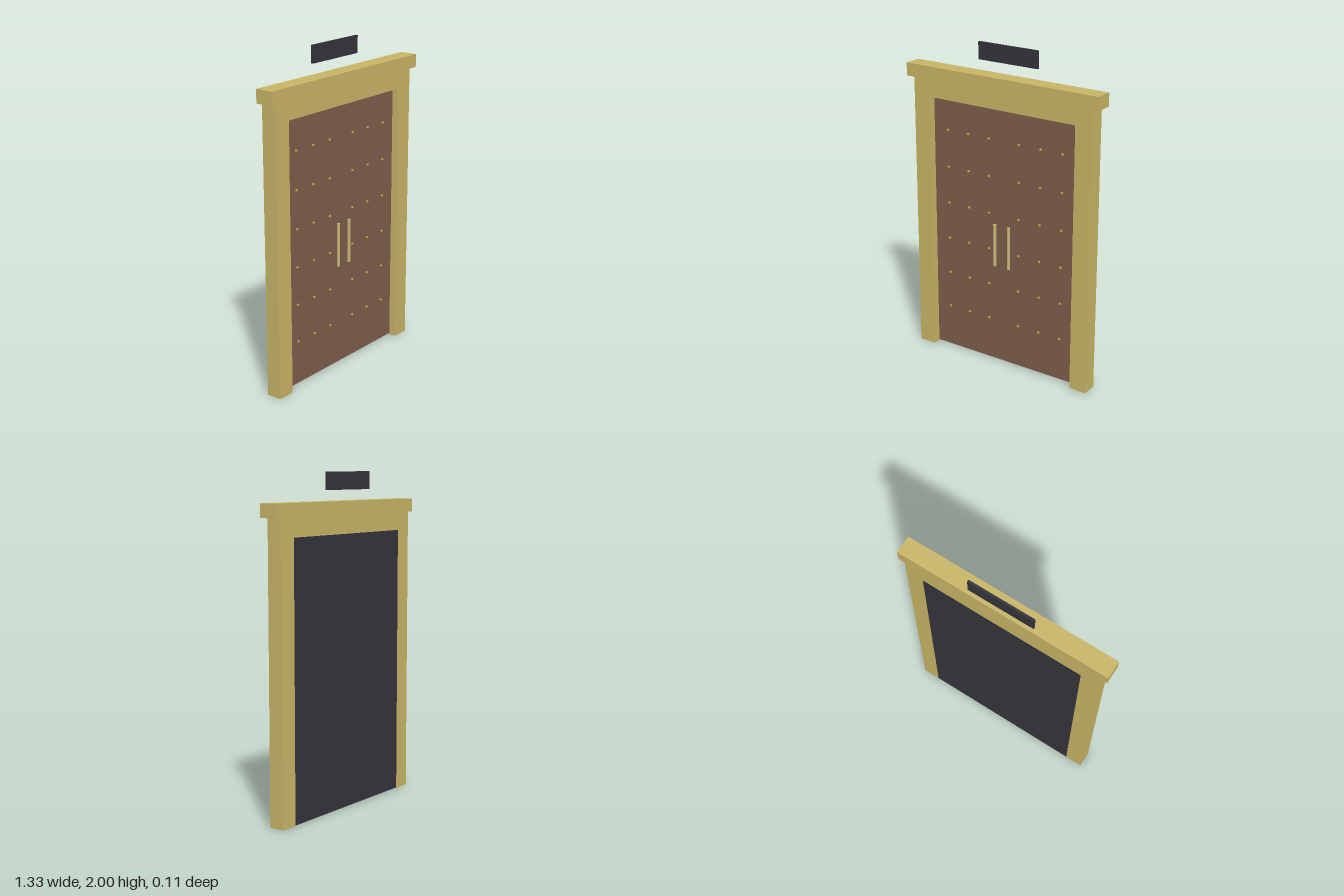
import * as THREE from 'three';

export function createModel() {
  const model = new THREE.Group();
  model.name = 'doubleDoor';

  const mat = (name, color) => {
    const m = new THREE.MeshStandardMaterial({ color });
    m.name = name;
    return m;
  };
  const stone = mat('sandstone', 0xc9b567);
  const wood = mat('brown wood', 0x7d5e4a);
  const dark = mat('dark panel', 0x35343b);
  const brass = mat('brass', 0xa68f3c);
  const paleBrass = mat('pale brass', 0xc9b878);

  // Box given by its minimum and maximum corners
  const box = (name, material, [x0, y0, z0], [x1, y1, z1], parent = model) => {
    const mesh = new THREE.Mesh(new THREE.BoxGeometry(x1 - x0, y1 - y0, z1 - z0), material);
    mesh.position.set((x0 + x1) / 2, (y0 + y1) / 2, (z0 + z1) / 2);
    mesh.name = name;
    parent.add(mesh);
    return mesh;
  };

  const back = -0.055, face = 0.04, doorFace = -0.003;

  // Surround: one arch-shaped outline with the doorway left open
  const outline = new THREE.Shape([
    [-0.62, 0], [-0.51, 0], [-0.51, 1.64], [0.51, 1.64],
    [0.51, 0], [0.62, 0], [0.62, 1.75], [-0.62, 1.75],
  ].map(([x, y]) => new THREE.Vector2(x, y)));
  const frame = new THREE.Mesh(
    new THREE.ExtrudeGeometry(outline, { depth: face - back, bevelEnabled: false }), stone);
  frame.position.z = back;
  frame.name = 'doorFrame';
  model.add(frame);

  box('cornice', stone, [-0.664, 1.75, back], [0.664, 1.83, 0.055]);
  box('backPanel', dark, [-0.51, 0.003, back], [0.51, 1.64, -0.038]);
  box('signPanel', dark, [-0.205, 1.895, back], [0.205, 2, -0.041]);

  // Two mirrored leaves with studs and a pull handle
  const studGeometry = new THREE.SphereGeometry(0.01, 8, 6);
  const handleGeometry = new THREE.CylinderGeometry(0.01, 0.01, 0.27, 8);
  for (const side of [-1, 1]) {
    const leaf = new THREE.Group();
    leaf.name = side > 0 ? 'leftLeaf' : 'rightLeaf';
    model.add(leaf);
    const xs = [side * 0.004, side * 0.506].sort((a, b) => a - b);
    box('leafPanel', wood, [xs[0], 0.01, -0.038], [xs[1], 1.635, doorFace], leaf);

    for (let row = 0; row < 6; row++) {
      for (let col = 0; col < 3; col++) {
        const stud = new THREE.Mesh(studGeometry, brass);
        stud.position.set(side * (0.107 + col * 0.149), 0.277 + row * 0.2325, doorFace);
        stud.name = 'stud';
        leaf.add(stud);
      }
    }

    const handle = new THREE.Mesh(handleGeometry, paleBrass);
    handle.position.set(side * 0.05, 0.785, 0.018);
    handle.name = 'handle';
    leaf.add(handle);
  }

  return model;
}
